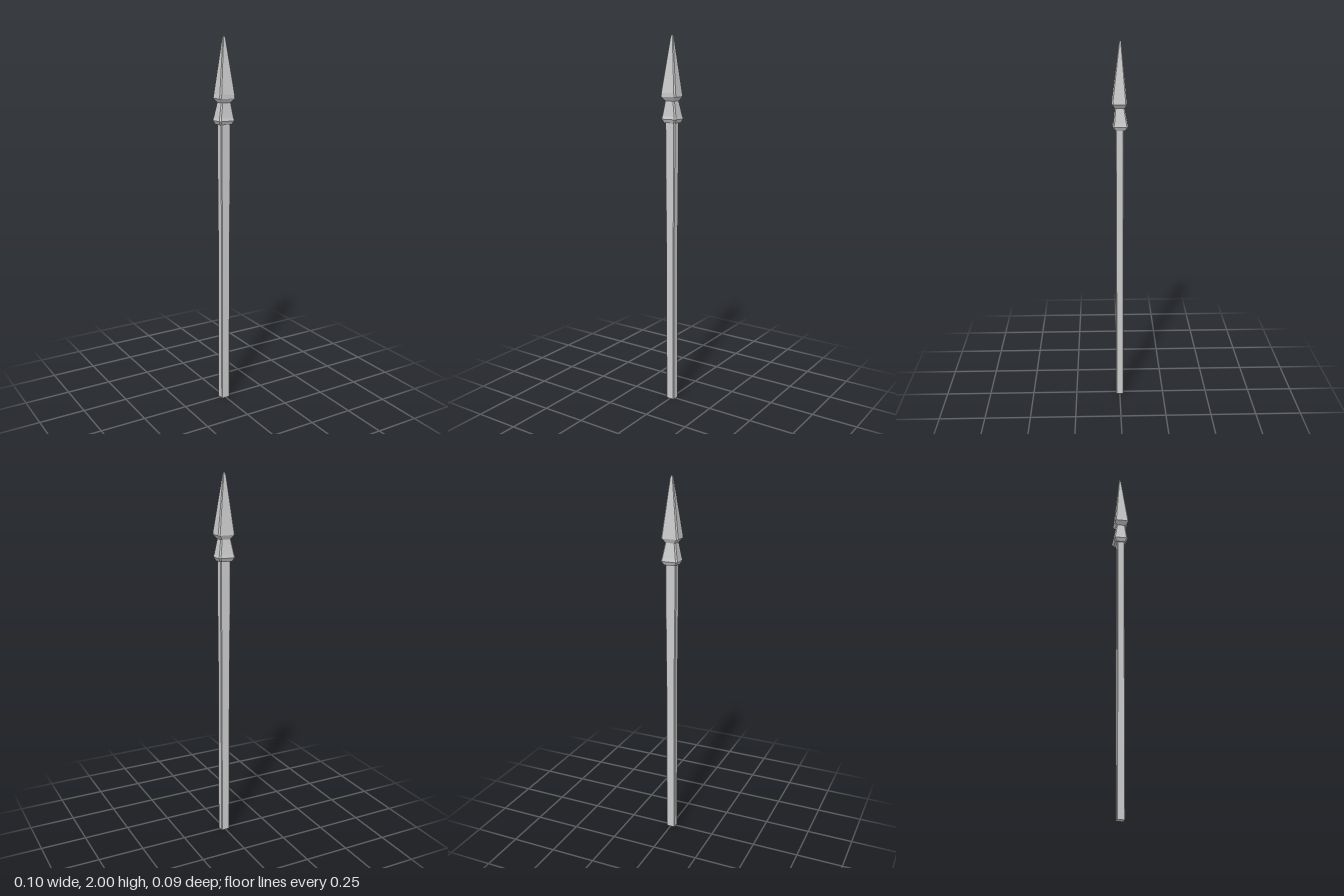
import * as THREE from 'three';

// Chamfered rectangle, counter-clockwise seen from above
function ring({ y, x, z, cz = 0, c }) {
  return [
    [x, z - c], [x, c - z], [x - c, -z], [c - x, -z],
    [-x, c - z], [-x, z - c], [c - x, z], [x - c, z],
  ].map(([px, pz]) => [px, y, pz + cz]);
}

// Skin a stack of sections from bottom to top and cap both ends
function loft(name, sections) {
  const rings = sections.map(ring);
  const pos = [];
  const tri = (...pts) => pts.forEach((p) => pos.push(...p));
  for (let r = 0; r < rings.length - 1; r++) {
    const a = rings[r], b = rings[r + 1];
    for (let i = 0; i < 8; i++) {
      const j = (i + 1) % 8;
      tri(a[i], a[j], b[j]);
      tri(a[i], b[j], b[i]);
    }
  }
  const bottom = rings[0], top = rings[rings.length - 1];
  for (let i = 1; i < 7; i++) {
    tri(bottom[0], bottom[i + 1], bottom[i]);
    tri(top[0], top[i], top[i + 1]);
  }
  const geometry = new THREE.BufferGeometry();
  geometry.setAttribute('position', new THREE.Float32BufferAttribute(pos, 3));
  geometry.computeVertexNormals();
  const mesh = new THREE.Mesh(
    geometry,
    new THREE.MeshStandardMaterial({ color: 0xcccccc, flatShading: true })
  );
  mesh.name = name;
  return mesh;
}

export function createModel() {
  const model = new THREE.Group();
  model.name = 'spear';

  // Straight shaft, a little wider towards the head
  model.add(loft('shaft', [
    { y: 0, x: 0.025, z: 0.021, c: 0.004 },
    { y: 1.0, x: 0.026, z: 0.021, c: 0.004 },
    { y: 1.33, x: 0.029, z: 0.021, c: 0.004 },
    { y: 1.57, x: 0.029, z: 0.021, c: 0.004 },
  ]));

  // Flared socket, narrow neck and long four-sided blade
  model.add(loft('spearhead', [
    { y: 1.555, x: 0.036, z: 0.031, cz: -0.003, c: 0.007 },
    { y: 1.575, x: 0.047, z: 0.041, cz: -0.003, c: 0.008 },
    { y: 1.59, x: 0.043, z: 0.037, cz: -0.003, c: 0.007 },
    { y: 1.668, x: 0.029, z: 0.026, cz: 0, c: 0.006 },
    { y: 1.69, x: 0.048, z: 0.039, cz: 0.002, c: 0.008 },
    { y: 1.71, x: 0.045, z: 0.038, cz: 0.003, c: 0.007 },
    { y: 1.985, x: 0.009, z: 0.007, cz: -0.002, c: 0.003 },
    { y: 2.0, x: 0.004, z: 0.003, cz: -0.003, c: 0.001 },
  ]));

  return model;
}
